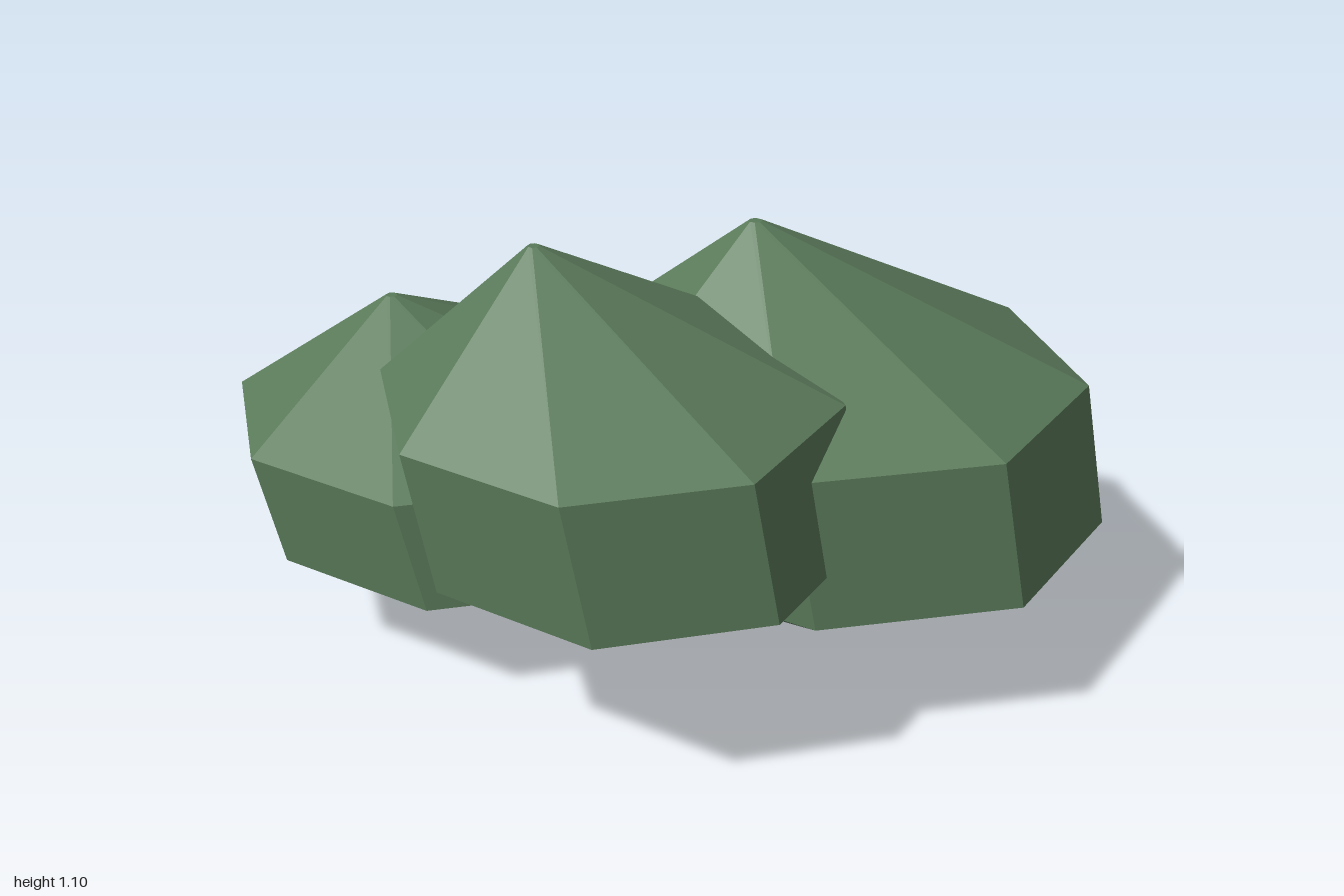
import * as THREE from 'three';

const foliage = new THREE.MeshStandardMaterial({ color: 0x5a7a5a, flatShading: true });
foliage.name = 'foliage green';
const bark = new THREE.MeshStandardMaterial({ color: 0x6b5444 });
bark.name = 'bark brown';

// Eight-sided leafy clump: two level rings and two blunt tips, each with its own x offset
function clump(name, { x, y, z, rx, rz }) {
  const tip = 0.025;
  const radii = [0, tip, 1, 1, tip, 0];
  const heights = [y[0], y[0], y[1], y[2], y[3], y[3]];
  const centres = [x[0], x[0], x[1], x[2], x[3], x[3]];
  const profile = radii.map((r, i) => new THREE.Vector2(r, heights[i]));
  const geo = new THREE.LatheGeometry(profile, 8);
  const pos = geo.attributes.position;
  for (let i = 0; i < pos.count; i++) {
    pos.setX(i, pos.getX(i) * rx + centres[i % radii.length]);
    pos.setZ(i, pos.getZ(i) * rz + z);
  }
  const flat = geo.toNonIndexed();
  flat.computeVertexNormals();
  const mesh = new THREE.Mesh(flat, foliage);
  mesh.name = name;
  return mesh;
}

export function createModel() {
  const group = new THREE.Group();
  group.name = 'tree';

  // Foliage: x and y run from the bottom tip to the top tip
  group.add(
    clump('frontFoliage', {
      x: [-0.11, 0.005, -0.052, -0.2], y: [0.19, 0.49, 0.797, 1.098], z: 0.2, rx: 0.483, rz: 0.49,
    }),
    clump('leftFoliage', {
      x: [0.285, 0.405, 0.34, 0.2], y: [0.035, 0.37, 0.705, 1.036], z: -0.157, rx: 0.59, rz: 0.535,
    }),
    clump('rightFoliage', {
      x: [-0.535, -0.43, -0.488, -0.62], y: [0.035, 0.29, 0.543, 0.795], z: -0.172, rx: 0.512, rz: 0.497,
    }),
  );

  // Slightly leaning, tapered trunk
  const trunkGeo = new THREE.CylinderGeometry(0.03, 0.062, 0.6, 8);
  trunkGeo.translate(0, 0.3, 0);
  const trunk = new THREE.Mesh(trunkGeo, bark);
  trunk.name = 'trunk';
  trunk.position.set(-0.1, 0.005, -0.137);
  trunk.rotation.z = -0.06;
  group.add(trunk);

  return group;
}
